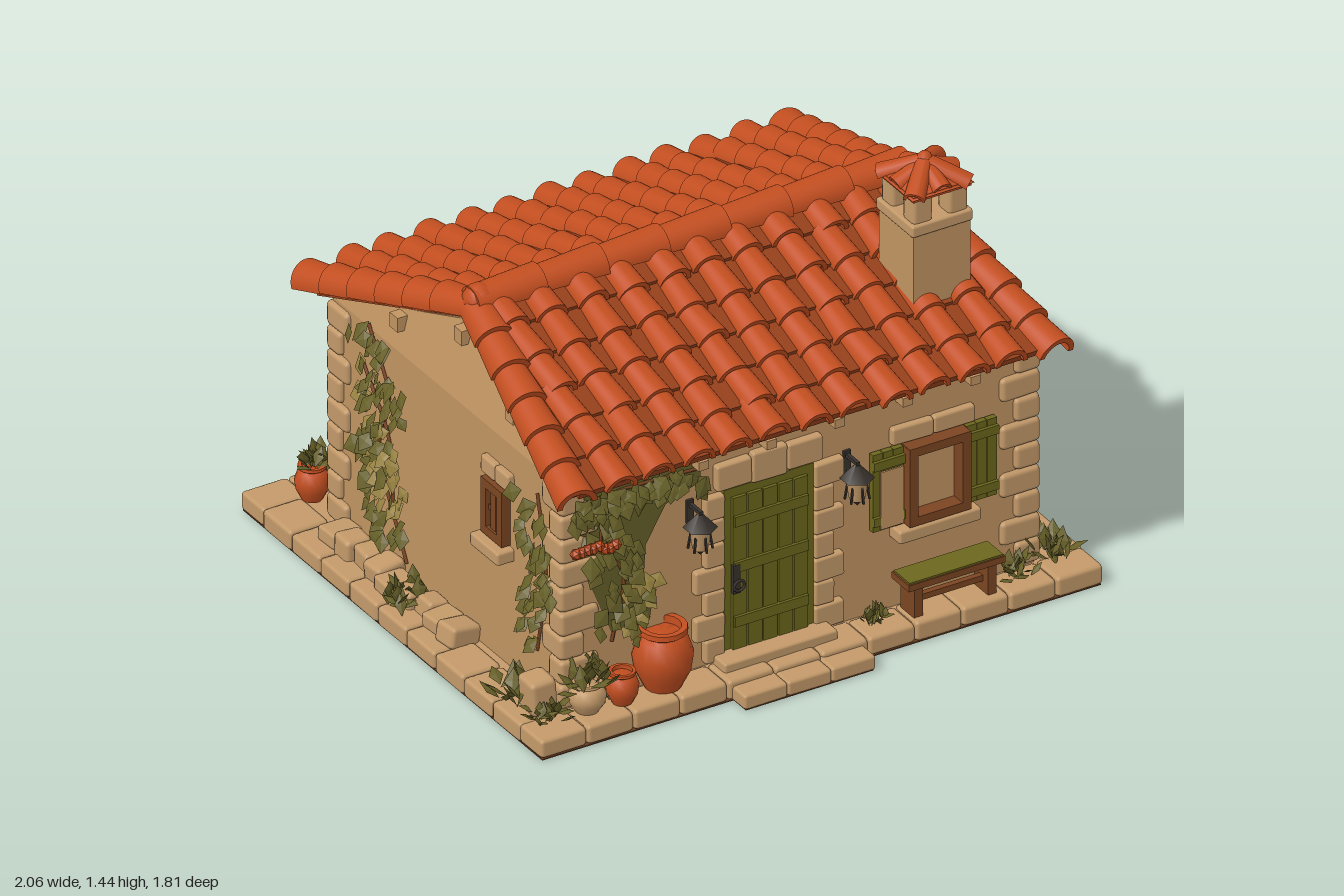
import * as THREE from 'three';
import { mergeGeometries, toCreasedNormals } from 'three/addons/utils/BufferGeometryUtils.js';
import { RoundedBoxGeometry } from 'three/addons/geometries/RoundedBoxGeometry.js';

const paint = (name, color) => Object.assign(new THREE.MeshStandardMaterial({ color }), { name });

export function createModel() {
  const M = {
    wall: paint('plaster', 0xc29562), stone: paint('stone', 0xc49a6a), tile: paint('terracotta', 0xc24e20),
    pan: paint('dark terracotta', 0x96401c), green: paint('painted green', 0x6c671d), leaf: paint('leaf green', 0x665f28),
    ivy: paint('ivy olive', 0x958040), wood: paint('brown wood', 0x7c4522), iron: paint('dark iron', 0x38322d),
    under: paint('dark earth', 0x683e22),
  };
  let seed = 7;
  const rnd = (a = 0, b = 1) => { seed = (seed * 16807) % 2147483647; return a + (b - a) * seed / 2147483647; };
  const group = (parent, name, x = 0, y = 0, z = 0, ry = 0) => {
    const g = new THREE.Group();
    g.name = name; g.position.set(x, y, z); g.rotation.y = ry; parent.add(g);
    return g;
  };
  const add = (parent, name, geo, mat, x = 0, y = 0, z = 0, rx = 0, ry = 0, rz = 0) => {
    const m = new THREE.Mesh(geo, mat);
    m.name = name; m.position.set(x, y, z); m.rotation.set(rx, ry, rz); parent.add(m);
    return m;
  };
  const box = (p, name, mat, x, y, z, w, h, d, ...r) => add(p, name, new THREE.BoxGeometry(w, h, d), mat, x, y, z, ...r);
  const stone = (p, name, x, y, z, w, h, d, wobble = 0.02) =>
    add(p, name, new RoundedBoxGeometry(w, h, d, 1, Math.min(w, h, d) * 0.2), M.stone, x, y, z, 0, rnd(-wobble, wobble), rnd(-wobble, wobble));
  const shapeOf = pts => new THREE.Shape(pts.map(p => new THREE.Vector2(...p)));

  // Tapered barrel tile, running along +z with its wide end last
  const barrel = (r, len) => {
    const s = new THREE.Shape();
    s.absarc(0, 0, r, 0, Math.PI, false);
    s.absarc(0, 0, r * 0.72, Math.PI, 0, true);
    const g = new THREE.ExtrudeGeometry(s, { depth: len, curveSegments: 8, bevelEnabled: false });
    const p = g.attributes.position;
    for (let i = 0; i < p.count; i++) {
      const k = 0.82 + 0.18 * p.getZ(i) / len;
      p.setXY(i, p.getX(i) * k, p.getY(i) * k);
    }
    return toCreasedNormals(g, 0.7);
  };

  // Leaves: flat diamonds merged into one mesh per plant
  const leafAt = (x, y, z, len, width, rx, ry, rz, order) => {
    const g = new THREE.OctahedronGeometry(0.5).scale(len * width, len, len * 0.12).translate(0, len / 2, 0);
    return g.applyMatrix4(new THREE.Matrix4().makeRotationFromEuler(new THREE.Euler(rx, ry, rz, order)).setPosition(x, y, z));
  };
  const bush = (p, x, y, z, r, n = 26) => {
    const parts = [];
    for (let i = 0; i < n; i++)
      parts.push(leafAt(rnd(-r, r) * 0.5, rnd(0, r * 0.4), rnd(-r, r) * 0.5, r * rnd(0.6, 0.95), 0.55, rnd(0.1, 1.35), rnd(0, 6.28), 0, 'YXZ'));
    add(p, 'bush', mergeGeometries(parts), M.leaf, x, y, z);
  };
  const ivy = (p, path, spread, n, mat = M.leaf) => {
    const curve = new THREE.CatmullRomCurve3(path.map(q => new THREE.Vector3(q[0], q[1], 0)));
    const parts = [];
    for (let i = 0; i < n; i++) {
      const c = curve.getPoint(rnd());
      parts.push(leafAt(c.x + rnd(-spread, spread), c.y + rnd(-spread, spread) * 0.5, rnd(0.005, 0.035), rnd(0.05, 0.085), 0.8,
        rnd(-0.8, -0.25), rnd(-0.4, 0.4), Math.PI + rnd(-1, 1), 'XYZ'));
    }
    add(p, 'ivyLeaves', mergeGeometries(parts), mat);
    add(p, 'ivyStem', new THREE.TubeGeometry(curve, 14, 0.006, 5), M.wood, 0, 0, 0.004);
  };
  const patch = (p, pts, mat = M.ivy) => add(p, 'ivyPatch', new THREE.ShapeGeometry(shapeOf(pts)), mat, 0, 0, 0.004);
  const pot = (p, x, z, r, h, plant, mat = M.tile) => {
    const prof = [[0, 0], [0.6, 0], [0.92, 0.3], [1, 0.55], [0.82, 0.8], [0.66, 0.87], [0.82, 0.92], [0.8, 1], [0.6, 1], [0.58, 0.88], [0, 0.88]];
    add(p, 'pot', toCreasedNormals(new THREE.LatheGeometry(prof.map(q => new THREE.Vector2(q[0] * r, q[1] * h)), 16), 0.8), mat, x, 0.07, z);
    if (plant) bush(p, x, 0.05 + h, z, plant);
  };

  const house = new THREE.Group();
  house.name = 'cottage';

  // Paved base with edge stones and a doorstep
  const base = group(house, 'base');
  box(base, 'underside', M.under, 0, 0.002, -0.035, 1.97, 0.004, 1.72);
  box(base, 'baseSlab', M.stone, 0, 0.032, -0.035, 1.92, 0.056, 1.67);
  for (let i = 0; i < 12; i++) {
    const x = -0.91 + i * 0.1655;
    for (const z of [0.765, -0.835]) stone(base, 'edgeStone', x, 0.037, z, 0.163, rnd(0.062, 0.07), 0.13, 0.012);
  }
  for (let i = 0; i < 9; i++)
    for (const s of [-1, 1]) stone(base, 'edgeStone', s * 0.925, 0.037, -0.69 + i * 0.165, 0.14, rnd(0.062, 0.07), 0.162, 0.012);
  for (let i = 0; i < 3; i++) stone(base, 'doorstep', -0.24 + i * 0.155, 0.028, 0.84, 0.154, 0.05, 0.12, 0.01);
  box(base, 'stepUnderside', M.under, -0.085, 0.002, 0.85, 0.45, 0.004, 0.09);

  // Solid walls with gables that lean in above the eaves
  const lean = y => 0.06 * Math.max(0, (y - 0.835) / 0.25);
  box(house, 'walls', M.wall, 0, 0.4425, 0.03, 1.66, 0.785, 1.32);
  const gables = new THREE.ExtrudeGeometry(shapeOf([[-0.69, 0.835], [0.63, 0.835], [-0.055, 1.085]]), { depth: 1.66, bevelEnabled: false }).translate(0, 0, -0.83);
  const gp = gables.attributes.position;
  for (let i = 0; i < gp.count; i++) gp.setZ(i, gp.getZ(i) - Math.sign(gp.getZ(i)) * lean(gp.getY(i)));
  gables.computeVertexNormals();
  add(house, 'gables', gables, M.wall, 0, 0, 0, 0, Math.PI / 2);
  // Corner stones in alternating lengths
  const quoins = group(house, 'cornerStones');
  for (const sx of [-1, 1]) for (const sz of [-1, 1])
    for (let i = 0; i < 9; i++) {
      const w = i % 2 ? 0.14 : 0.09, d = i % 2 ? 0.08 : 0.12;
      stone(quoins, 'cornerStone', sx * (0.848 - w / 2), 0.11 + i * 0.084, (sz > 0 ? 0.708 : -0.648) - sz * d / 2, w, 0.083, d);
    }

  // Wall frames: local x runs along the wall, local z points out
  const front = group(house, 'frontWall', 0, 0, 0.69);
  const left = group(house, 'leftWall', 0.83, 0, 0, Math.PI / 2);
  const right = group(house, 'rightWall', -0.83, 0, 0, -Math.PI / 2);

  // Door with planks, rails and stone surround
  const door = group(front, 'door', -0.113, 0, 0);
  box(door, 'doorFrame', M.green, 0, 0.375, 0.005, 0.315, 0.57, 0.02);
  for (let i = 0; i < 5; i++) box(door, 'doorPlank', M.green, -0.108 + i * 0.054, 0.365, 0.016, 0.049, 0.53, 0.02);
  for (const y of [0.2, 0.39, 0.55]) box(door, 'doorRail', M.green, 0, y, 0.028, 0.26, 0.035, 0.015);
  box(door, 'lockPlate', M.iron, -0.125, 0.35, 0.03, 0.025, 0.1, 0.012);
  add(door, 'doorRing', new THREE.TorusGeometry(0.018, 0.005, 6, 12), M.iron, -0.12, 0.33, 0.042);
  stone(door, 'threshold', 0, 0.08, 0.04, 0.4, 0.04, 0.1, 0.003);
  for (let i = 0; i < 7; i++) for (const s of [-1, 1]) {
    const w = (i + (s > 0)) % 2 ? 0.105 : 0.07;
    stone(door, 'jambStone', s * (0.158 + w / 2), 0.115 + i * 0.083, 0.004, w, 0.081, 0.045);
  }
  for (let i = 0; i < 3; i++) stone(door, 'lintelStone', -0.125 + i * 0.125, 0.71, 0.004, 0.124, i === 1 ? 0.105 : 0.09, 0.045);

  // Wall lanterns
  for (const x of [-0.385, 0.168]) {
    const l = group(front, 'lantern', x, 0.56, 0.065);
    add(l, 'lampGlass', new THREE.CylinderGeometry(0.037, 0.024, 0.08, 6), M.stone);
    for (let i = 0; i < 6; i++) {
      const a = i * Math.PI / 3;
      box(l, 'lampBar', M.iron, Math.sin(a) * 0.031, 0, Math.cos(a) * 0.031, 0.006, 0.08, 0.006, -0.16 * Math.cos(a), 0, 0.16 * Math.sin(a));
    }
    add(l, 'lampRoof', new THREE.ConeGeometry(0.054, 0.055, 6), M.iron, 0, 0.062, 0);
    add(l, 'lampFoot', new THREE.ConeGeometry(0.024, 0.025, 6), M.iron, 0, -0.05, 0, Math.PI);
    box(l, 'lampBracket', M.iron, 0, 0.085, -0.03, 0.012, 0.012, 0.075);
    box(l, 'lampPlate', M.iron, 0, 0.06, -0.061, 0.025, 0.08, 0.01);
  }

  // Framed window with stone lintel and sill
  const windowAt = (p, x, y, w, h, glass, bars, depth = 0.04) => {
    const g = group(p, 'window', x, y, 0);
    box(g, 'windowPane', glass, 0, 0, 0.003, w, h, 0.008);
    for (const s of [-1, 1]) {
      box(g, 'windowJamb', M.wood, s * (w / 2 - 0.014), 0, depth / 2 - 0.008, 0.03, h, depth);
      box(g, 'windowRail', M.wood, 0, s * (h / 2 - 0.014), depth / 2 - 0.008, w, 0.03, depth);
    }
    if (bars) {
      box(g, 'mullion', M.wood, 0, 0, 0.012, 0.028, h, 0.026);
      box(g, 'glazingBar', M.wood, 0, 0, 0.01, w, 0.018, 0.022);
    }
    for (const s of [-1, 1]) stone(g, 'windowLintel', s * w * 0.34, h / 2 + 0.035, 0, w * 0.68, 0.06, 0.045);
    stone(g, 'windowSill', 0, -h / 2 - 0.028, 0.02, w * 1.35, 0.045, 0.08, 0.005);
    return g;
  };
  const shutter = (p, x, h, w) => {
    const g = group(p, 'shutter', x, 0, 0.015);
    for (let i = 0; i < 3; i++) box(g, 'shutterSlat', M.green, (i - 1) * w / 3, 0, 0, w / 3 - 0.002, h, 0.02);
    for (const s of [-1, 1]) box(g, 'shutterRail', M.green, 0, s * h * 0.36, 0.014, w, 0.03, 0.014);
    return g;
  };
  const w1 = windowAt(front, 0.467, 0.49, 0.215, 0.27, M.wall, false, 0.065);
  const openShutter = shutter(w1, -0.165, 0.27, 0.11);
  box(openShutter, 'shutterPanel', M.wall, 0.008, -0.025, 0.019, 0.08, 0.2, 0.006);
  shutter(w1, 0.165, 0.27, 0.11);
  const w2 = windowAt(left, -0.052, 0.555, 0.265, 0.28, M.iron, true);
  for (const s of [-1, 1]) shutter(w2, s * 0.192, 0.285, 0.12);
  windowAt(right, 0.33, 0.58, 0.12, 0.19, M.iron, true);
  // Flower box on brackets
  box(w2, 'flowerBox', M.stone, 0, -0.175, 0.05, 0.33, 0.045, 0.075);
  for (const s of [-1, 1]) box(w2, 'boxBracket', M.wood, s * 0.11, -0.21, 0.04, 0.025, 0.03, 0.05);
  for (let i = 0; i < 7; i++) {
    bush(w2, -0.135 + i * 0.045, -0.165, 0.065, 0.07, 14);
    add(w2, 'flower', new THREE.IcosahedronGeometry(0.016), M.tile, -0.14 + i * 0.046, -0.15 + rnd(0, 0.045), 0.105);
  }

  // Bench
  const bench = group(front, 'bench', 0.487, 0.07, 0.07);
  box(bench, 'benchSeat', M.wood, 0, 0.115, 0, 0.34, 0.022, 0.1);
  box(bench, 'seatPaint', M.green, 0, 0.129, 0, 0.33, 0.006, 0.092);
  for (const s of [-1, 1]) box(bench, 'benchLeg', M.wood, s * 0.13, 0.052, 0, 0.03, 0.104, 0.08);
  box(bench, 'benchStretcher', M.wood, 0, 0.045, 0, 0.25, 0.02, 0.02);

  // Beam ends under the gables and front eave
  for (const [p, s] of [[left, 1], [right, -1]])
    for (const [z, y] of [[0.055, 1.04], [0.39, 0.94], [-0.27, 0.93]]) box(p, 'beamEnd', M.wall, -s * z, y, 0.005 - lean(y), 0.045, 0.05, 0.05);
  for (let i = 0; i < 5; i++) box(front, 'rafterEnd', M.wall, -0.36 + i * 0.24, 0.79, 0.02, 0.035, 0.03, 0.05);

  // Tiled roof slopes: local z runs down the slope
  const slope = (name, tilt, len, turn) => {
    const g = group(house, name, 0, 1.125, 0.055);
    g.rotation.set(tilt, turn, 0, 'YXZ');
    const slab = shapeOf([[-0.755, 0], [0.755, 0], [0.855, len - 0.045], [-0.855, len - 0.045]]);
    add(g, 'roofDeck', new THREE.ExtrudeGeometry(slab, { depth: 0.04, bevelEnabled: false }).rotateX(Math.PI / 2), M.pan);
    const rows = 6, step = len / rows, cap = barrel(0.055, step + 0.025), edge = barrel(0.066, step + 0.03);
    for (let j = 0; j < rows; j++) {
      const z = j * step - 0.015, k = (j + 0.5) / rows;
      box(g, 'panRow', M.pan, 0, 0.008, z + step / 2 + 0.005, 1.48 + 0.2 * k, 0.02, step + 0.01, -0.09);
      for (let i = 0; i < 11; i++)
        add(g, 'roofTile', cap, M.tile, -0.69 + i * 0.138 + rnd(-0.008, 0.008), 0.003, z + rnd(-0.008, 0.008), -0.07 + rnd(-0.03, 0.02), rnd(-0.04, 0.04));
      for (const s of [-1, 1])
        add(g, 'vergeTile', edge, M.tile, s * (0.74 + 0.1 * j / rows), -0.012, z, -0.07, s * 0.13, -s * 0.15);
    }
  };
  slope('frontRoof', 0.372, 0.785, 0);
  slope('backRoof', 0.342, 0.84, Math.PI);
  const ridgeTile = barrel(0.068, 0.235);
  for (let i = 0; i < 7; i++) add(house, 'ridgeTile', ridgeTile, M.tile, -0.765 + i * 0.216, 1.137, 0.055, 0, Math.PI / 2, rnd(0, 0.02));
  for (const s of [-1, 1]) add(house, 'ridgeEnd', new THREE.SphereGeometry(0.054, 10, 8), M.tile, s * 0.735, 1.145, 0.055);

  // Chimney with open top and tiled cap
  const chimney = group(house, 'chimney', 0.605, 0, 0.43);
  box(chimney, 'chimneyStack', M.wall, 0, 1.08, 0, 0.2, 0.28, 0.2);
  stone(chimney, 'chimneyCollar', 0, 1.235, 0, 0.215, 0.04, 0.215, 0.01);
  for (const s of [-1, 1]) for (const t of [-1, 1]) stone(chimney, 'chimneyPost', s * 0.062, 1.295, t * 0.062, 0.07, 0.1, 0.07);
  box(chimney, 'capSlab', M.tile, 0, 1.345, 0, 0.205, 0.018, 0.205);
  add(chimney, 'chimneyCap', new THREE.ConeGeometry(0.155, 0.075, 4, 1).rotateY(Math.PI / 4), M.tile, 0, 1.385, 0);
  const hip = barrel(0.034, 0.13);
  for (let i = 0; i < 8; i++) {
    const t = group(chimney, 'capTile', 0, i % 2 ? 1.4 : 1.39, 0, i * Math.PI / 4);
    add(t, 'capTileBarrel', hip, M.tile, 0, 0, 0, 0.42).scale.z = i % 2 ? 1.15 : 0.85;
  }
  add(chimney, 'capKnob', new THREE.SphereGeometry(0.026, 8, 6), M.tile, 0, 1.41, 0);

  // Ivy on the walls
  patch(front, [[-0.83, 0.8], [-0.34, 0.8], [-0.35, 0.71], [-0.47, 0.67], [-0.54, 0.55], [-0.55, 0.4], [-0.53, 0.3], [-0.66, 0.28], [-0.74, 0.48], [-0.83, 0.58]], M.leaf);
  ivy(front, [[-0.8, 0.76], [-0.6, 0.77], [-0.36, 0.76]], 0.06, 45);
  ivy(front, [[-0.66, 0.75], [-0.7, 0.6], [-0.62, 0.48], [-0.66, 0.25]], 0.08, 50);
  ivy(front, [[-0.6, 0.5], [-0.56, 0.4], [-0.6, 0.3]], 0.04, 10, M.ivy);
  for (let i = 0; i < 8; i++) add(front, 'ivyFlower', new THREE.IcosahedronGeometry(0.02), M.tile, -0.82 + i * 0.02, 0.63 + rnd(-0.015, 0.015), 0.06);
  patch(left, [[-0.58, 0.83], [-0.4, 0.88], [-0.2, 0.92], [-0.2, 0.87], [-0.33, 0.8], [-0.38, 0.65], [-0.58, 0.62]]);
  patch(left, [[0.3, 0.22], [0.42, 0.2], [0.5, 0.45], [0.45, 0.6], [0.38, 0.42]]);
  ivy(left, [[-0.48, 0.86], [-0.43, 0.65], [-0.5, 0.4], [-0.52, 0.1]], 0.08, 65);
  ivy(left, [[0.46, 0.85], [0.42, 0.68], [0.5, 0.5], [0.45, 0.3]], 0.08, 50);
  ivy(left, [[-0.4, 0.76], [-0.4, 0.6], [-0.48, 0.42], [-0.46, 0.2]], 0.08, 35, M.ivy);
  ivy(left, [[0.5, 0.8], [0.42, 0.6], [0.46, 0.36]], 0.08, 30, M.ivy);
  ivy(right, [[-0.42, 0.85], [-0.3, 0.65], [-0.36, 0.45], [-0.2, 0.12]], 0.1, 80);
  ivy(right, [[-0.45, 0.7], [-0.3, 0.5], [-0.28, 0.3]], 0.08, 30, M.ivy);
  ivy(right, [[0.55, 0.75], [0.6, 0.5], [0.55, 0.2]], 0.07, 40);

  // Pots, bushes and loose stones on the paving
  const yard = group(house, 'garden');
  pot(yard, -0.505, 0.735, 0.095, 0.21);
  pot(yard, -0.66, 0.755, 0.052, 0.11);
  pot(yard, -0.775, 0.74, 0.06, 0.1, 0.11, M.stone);
  pot(yard, 0.77, -0.73, 0.08, 0.16, 0.11);
  pot(yard, -0.83, -0.75, 0.055, 0.12, 0.09);
  for (const [x, z, r] of [[-0.92, 0.58, 0.11], [-0.91, 0.73, 0.08], [0.23, 0.75, 0.06], [0.74, 0.74, 0.08], [0.88, 0.7, 0.1], [0.92, 0.38, 0.1],
    [0.89, -0.4, 0.06], [0.6, -0.8, 0.1], [-0.74, -0.81, 0.1], [-0.92, -0.06, 0.1], [-0.68, 0.71, 0.08]]) bush(yard, x, 0.065, z, r);
  for (let i = 0; i < 9; i++) stone(yard, 'looseStone', -0.89 + rnd(-0.02, 0.02), 0.09, -0.5 + i * 0.085, rnd(0.07, 0.12), rnd(0.05, 0.09), 0.09, 0.2);
  for (let i = 0; i < 6; i++) stone(yard, 'footingStone', -0.65 + i * 0.22 + rnd(-0.05, 0.05), 0.085, -0.635, rnd(0.05, 0.1), rnd(0.04, 0.07), 0.04, 0.1);
  stone(yard, 'cornerRock', -0.9, 0.13, 0.66, 0.09, 0.12, 0.1, 0.1);
  return house;
}
